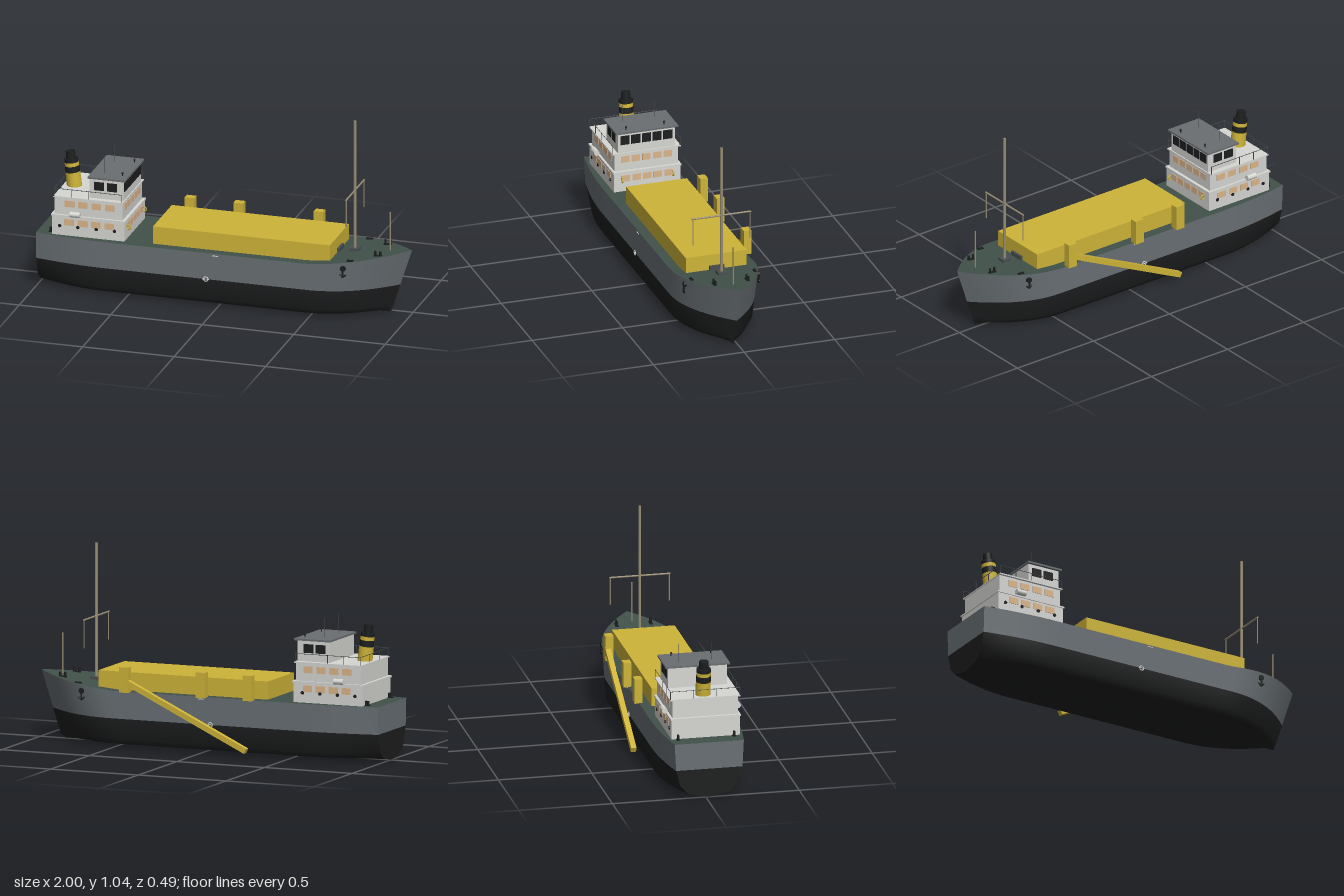
import * as THREE from 'three';
import { toCreasedNormals } from 'three/addons/utils/BufferGeometryUtils.js';

const mat = (name, color) => {
  const m = new THREE.MeshStandardMaterial({ color });
  m.name = name;
  return m;
};

export function createModel() {
  const hullGrey = mat('hull grey', 0x686f73);
  const black = mat('black', 0x1d1e1f);
  const green = mat('deck green', 0x41524a);
  const yellow = mat('yellow', 0xceb438);
  const white = mat('cabin white', 0xd6d6d3);
  const roofGrey = mat('roof grey', 0x6a6f72);
  const tan = mat('warm window', 0xdcb68c);
  const mastTan = mat('mast tan', 0x998e74);
  const railGrey = mat('rail grey', 0x4a4e50);

  const model = new THREE.Group();
  model.name = 'cargoShip';
  const ship = new THREE.Group(); // everything is placed about this centre line
  ship.name = 'ship';
  ship.position.z = 0.0185;
  model.add(ship);

  const add = (name, geo, material, x = 0, y = 0, z = 0) => {
    const m = new THREE.Mesh(geo, material);
    m.name = name;
    m.position.set(x, y, z);
    ship.add(m);
    return m;
  };
  // box given by its ranges
  const box = (name, material, x0, x1, y0, y1, z0, z1) =>
    add(name, new THREE.BoxGeometry(x1 - x0, y1 - y0, z1 - z0), material,
      (x0 + x1) / 2, (y0 + y1) / 2, (z0 + z1) / 2);
  // round bar between two points
  const bar = (name, material, a, b, r, r2 = r, sides = 8) => {
    const p = new THREE.Vector3(...a), q = new THREE.Vector3(...b);
    const m = add(name, new THREE.CylinderGeometry(r2, r, p.distanceTo(q), sides), material);
    m.position.copy(p).lerp(q, 0.5);
    m.quaternion.setFromUnitVectors(new THREE.Vector3(0, 1, 0), q.sub(p).normalize());
  };

  // ---- Hull: rows of points running from stern to stem ----
  const deckY = x => 0.3 + 0.053 * Math.pow(Math.max(0, (x - 0.48) / 0.52), 1.1);
  const halfWidth = (u, narrow = 0) => {
    const bow = Math.max(0, (u - 0.54) / 0.46), stern = Math.max(0, (-0.6 - u) / 0.4);
    return (0.2225 * (1 - bow ** 2.1) - 0.0375 * stern ** 1.8) * (1 - narrow * stern ** 2);
  };
  // y null follows the deck line; w scales the width; narrow pinches the stern; lift raises it
  const point = (s, { y, w, narrow = 0, lift = 0 }, side) => {
    const u = -1 + 2 * s;
    const end = y === null ? 1 : 0.885 + 0.115 * y / 0.353;
    const x = -1 + (end + 1) * s;
    const rise = lift * Math.max(0, (-0.6 - u) / 0.4) ** 2;
    return [x, y === null ? deckY(x) : y + rise, side * w * halfWidth(u, narrow)];
  };
  const keel = { y: 0, w: 0 };
  const floor = { y: 0.02, w: 0.9, narrow: 0.35 };
  const bilge = { y: 0.047, w: 0.99, narrow: 0.16, lift: 0.02 };
  const water = { y: 0.155, w: 1, narrow: 0.04 };
  const sheer = { y: null, w: 1 };
  const N = 64;
  const loft = (name, material, rows) => {
    const pos = [], idx = [], n = rows.length;
    for (let i = 0; i <= N; i++) for (const [row, side] of rows) pos.push(...point(i / N, row, side));
    for (let i = 0; i < N; i++) for (let j = 0; j < n - 1; j++) {
      const a = i * n + j, b = a + n;
      idx.push(a, b, a + 1, b, b + 1, a + 1);
    }
    const g = new THREE.BufferGeometry();
    g.setAttribute('position', new THREE.Float32BufferAttribute(pos, 3));
    g.setIndex(idx);
    add(name, toCreasedNormals(g, 0.9), material);
  };
  const lower = [[water, -1], [bilge, -1], [floor, -1], [keel, 1], [floor, 1], [bilge, 1], [water, 1]];
  loft('lowerHull', black, lower);
  loft('rightTopside', hullGrey, [[sheer, -1], [water, -1]]);
  loft('leftTopside', hullGrey, [[water, 1], [sheer, 1]]);
  loft('deck', green, [[sheer, 1], [sheer, -1]]);
  // flat stern plates, facing aft
  const transom = (name, material, rows) => {
    const shape = new THREE.Shape(rows.map(([r, s]) => {
      const p = point(0, r, s);
      return new THREE.Vector2(p[2], p[1]);
    }));
    add(name, new THREE.ShapeGeometry(shape).rotateY(-Math.PI / 2), material, -1);
  };
  transom('lowerTransom', black, lower);
  transom('upperTransom', hullGrey, [[water, -1], [water, 1], [sheer, 1], [sheer, -1]]);

  // ---- Cargo hold ----
  box('cargoHold', yellow, -0.365, 0.602, 0.295, 0.396, -0.168, 0.168);
  box('holdVent', railGrey, 0.602, 0.615, 0.305, 0.335, -0.04, 0.04);

  // ---- Accommodation ----
  box('lowerCabin', white, -0.912, -0.517, 0.295, 0.41, -0.183, 0.183);
  box('lowerCabinLip', white, -0.917, -0.512, 0.404, 0.413, -0.188, 0.188);
  box('upperCabin', white, -0.9, -0.53, 0.41, 0.512, -0.175, 0.175);
  box('upperCabinLip', white, -0.904, -0.524, 0.508, 0.515, -0.188, 0.188);
  box('wheelhouse', white, -0.714, -0.53, 0.512, 0.626, -0.157, 0.157);
  box('wheelhouseRoof', roofGrey, -0.722, -0.517, 0.625, 0.635, -0.172, 0.172);

  // windows on the front walls
  for (let i = -2; i <= 2; i++) {
    const z = i * 0.059;
    box('bridgeWindow', black, -0.532, -0.527, 0.56, 0.61, z - 0.025, z + 0.025);
    box('frontWindow', tan, -0.532, -0.527, 0.458, 0.494, z - 0.023, z + 0.023);
    box('frontWindow', tan, -0.519, -0.514, 0.355, 0.39, z - 0.023, z + 0.023);
  }
  for (const s of [-1, 1]) {
    const plate = (name, m, x0, x1, y0, y1, z) =>
      box(name, m, x0, x1, y0, y1, s * z - 0.0025, s * z + 0.0025);
    // windows and portholes on the side walls
    for (let i = 0; i < 4; i++) {
      const x = -0.845 + i * 0.0735;
      plate('sideWindow', tan, x, x + 0.052, 0.457, 0.492, 0.1755);
      plate('sideWindow', tan, x, x + 0.052, 0.357, 0.392, 0.1835);
      const hx = -0.87 + i * 0.1;
      bar('porthole', black, [hx, 0.352, s * 0.18], [hx, 0.352, s * 0.188], 0.009, 0.009, 12);
    }
    for (const x of [-0.69, -0.62]) plate('bridgeSideWindow', black, x, x + 0.055, 0.56, 0.606, 0.1575);

    // life raft canister and life ring
    bar('lifeRaft', white, [-0.81, 0.425, s * 0.196], [-0.755, 0.425, s * 0.196], 0.015, 0.015, 14);
    add('lifeRing', new THREE.TorusGeometry(0.012, 0.0035, 8, 20), yellow, -0.508, 0.367, s * 0.14);

    // railing along the upper cabin roof
    bar('sideRail', railGrey, [-0.9, 0.558, s * 0.186], [-0.53, 0.558, s * 0.186], 0.0016, 0.0016, 6);
    for (const x of [-0.9, -0.807, -0.714, -0.53])
      bar('railPost', railGrey, [x, 0.51, s * 0.186], [x, 0.56, s * 0.186], 0.0018, 0.0018, 6);

    // roof aerials and lamps
    bar('aerial', railGrey, [-0.655, 0.63, s * 0.088], [-0.655, 0.735, s * 0.088], 0.0014, 0.0014, 6);
    bar('lampPost', black, [-0.55, 0.63, s * 0.105], [-0.55, 0.648, s * 0.105], 0.003);
    add('roofLamp', new THREE.SphereGeometry(0.006, 10, 8), black, -0.55, 0.65, s * 0.105);

    // mooring bitts: x, z, spacing, height
    for (const [bx, bz, d, h] of [[0.84, 0.091, 0.014, 0.026], [0.715, 0.175, 0.01, 0.008], [-0.925, 0.15, 0.006, 0.026]]) {
      const y = deckY(bx);
      box('bittBase', black, bx - d - 0.008, bx + d + 0.008, y - 0.005, y + 0.004, s * bz - 0.008, s * bz + 0.008);
      for (const e of [-d, d]) bar('bittPost', black, [bx + e, y - 0.005, s * bz], [bx + e, y + h, s * bz], 0.006, 0.006, 10);
    }

    // anchor hung on the bow
    const az = s * 0.206;
    bar('hawseHole', black, [0.683, 0.287, az - s * 0.012], [0.683, 0.287, az + s * 0.004], 0.015, 0.015, 14);
    bar('anchorShank', black, [0.683, 0.287, az], [0.683, 0.243, az], 0.005);
    for (const d of [-0.018, 0.018]) bar('anchorArm', black, [0.683, 0.241, az], [0.683 + d, 0.256, az], 0.006, 0.003);

    // load line mark and deck line
    add('loadRing', new THREE.TorusGeometry(0.012, 0.003, 6, 24), white, -0.06, 0.155, s * 0.223);
    plate('loadBar', white, -0.078, -0.042, 0.1535, 0.1565, 0.2235);
    plate('deckLine', white, -0.025, 0.008, 0.287, 0.291, 0.2235);
  }
  // railing across the stern side
  bar('aftRail', railGrey, [-0.9, 0.558, -0.186], [-0.9, 0.558, 0.186], 0.0016, 0.0016, 6);
  for (const z of [-0.062, 0.062]) bar('aftRailPost', railGrey, [-0.9, 0.51, z], [-0.9, 0.56, z], 0.0018, 0.0018, 6);

  // ---- Funnel: leaning stack of bands ----
  const bands = [[0.51, 0.592, 0.04, 0.039, yellow], [0.592, 0.625, 0.039, 0.038, black],
    [0.625, 0.645, 0.038, 0.0375, yellow], [0.645, 0.664, 0.0375, 0.037, black], [0.66, 0.704, 0.025, 0.0245, black]];
  const lean = y => -0.845 - (y - 0.51) * 0.12;
  for (const [y0, y1, r0, r1, m] of bands) bar('funnelBand', m, [lean(y0), y0, 0], [lean(y1), y1, 0], r0, r1, 24);

  // ---- Masts ----
  box('mastBase', railGrey, 0.663, 0.713, 0.305, 0.335, -0.024, 0.024);
  bar('mainMast', mastTan, [0.688, 0.32, 0], [0.688, 1.04, 0], 0.008, 0.0075, 12);
  bar('yard', mastTan, [0.688, 0.654, -0.163], [0.688, 0.654, 0.163], 0.005);
  for (const z of [-0.158, 0.158]) bar('yardDropper', mastTan, [0.688, 0.654, z], [0.688, 0.505, z], 0.003);
  bar('foreMast', mastTan, [0.88, 0.335, 0], [0.88, 0.552, 0], 0.004);

  // ---- Dredging gear over the right side ----
  for (const x of [-0.28, -0.013, 0.425]) box('gantry', yellow, x - 0.026, x + 0.026, 0.298, 0.432, -0.246, -0.204);
  const a = new THREE.Vector3(0.425, 0.36, -0.232), b = new THREE.Vector3(-0.275, 0.033, -0.245);
  const arm = add('suctionArm', new THREE.BoxGeometry(0.029, 0.029, a.distanceTo(b)), yellow);
  arm.position.copy(a).lerp(b, 0.5);
  arm.lookAt(b.add(ship.position));

  return model;
}
